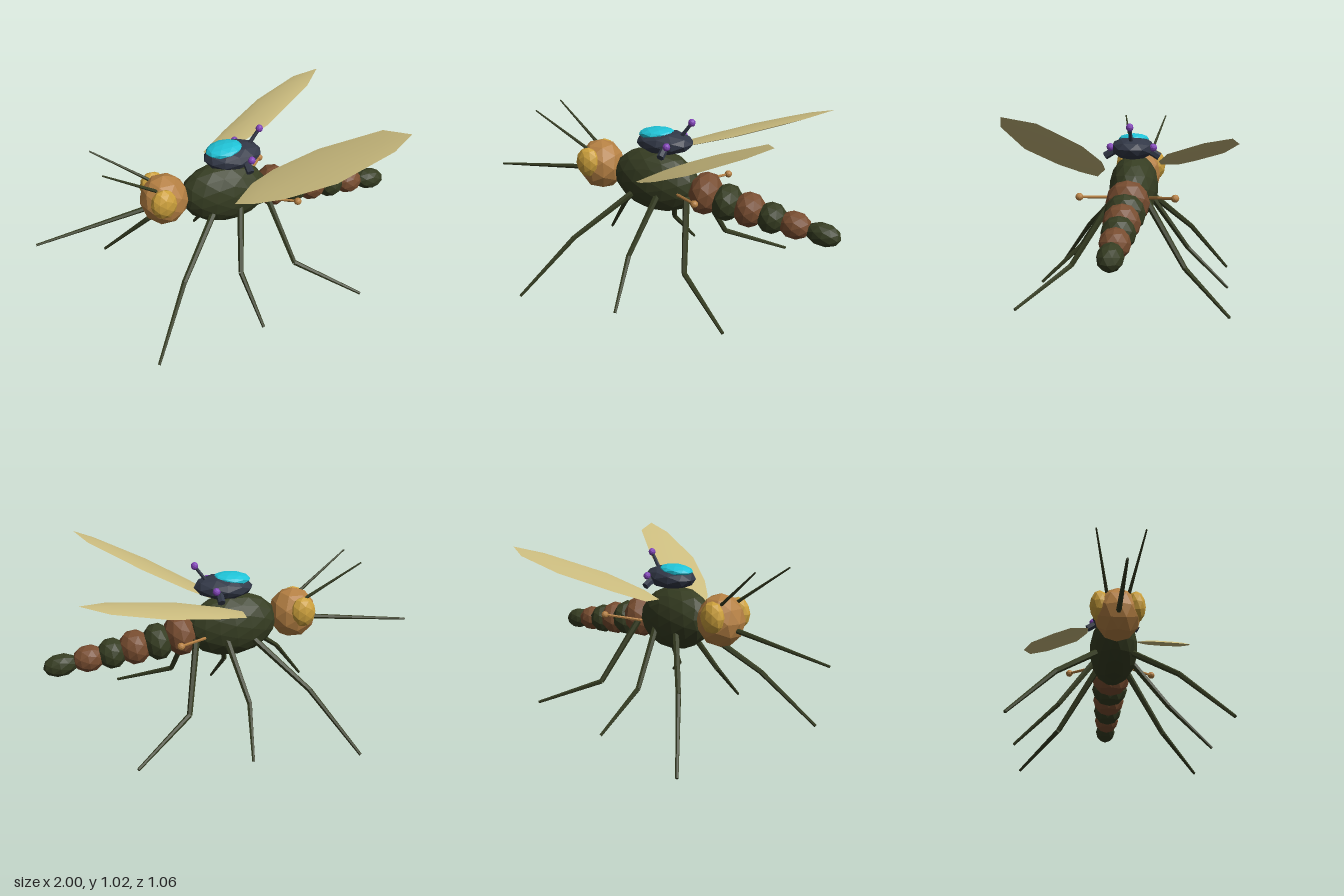
import * as THREE from 'three';

const mat = (name, color) => {
  const m = new THREE.MeshStandardMaterial({ color });
  m.name = name;
  return m;
};

export function createModel() {
  const root = new THREE.Group();
  root.name = 'mosquito';
  const green = mat('darkGreen', 0x363d22);
  const brown = mat('brown', 0x784d30);
  const tan = mat('tan', 0xb58043);
  const gold = mat('gold', 0xcca03c);
  const navy = mat('navy', 0x323847);
  const cyan = mat('cyan', 0x20c4d8);
  const purple = mat('purple', 0x8244b8);
  const wingMat = mat('wingYellow', 0xcabb7e);
  for (const m of [green, brown, tan, gold, navy, cyan, purple]) m.flatShading = true;
  wingMat.side = THREE.DoubleSide;

  const add = (name, geo, material) => {
    const mesh = new THREE.Mesh(geo, material);
    mesh.name = name;
    root.add(mesh);
    return mesh;
  };
  // faceted ellipsoid, tilted about z
  const blob = (name, material, pos, radii, tilt = 0, detail = 1) => {
    const mesh = add(name, new THREE.IcosahedronGeometry(1, detail), material);
    mesh.scale.set(...radii);
    mesh.position.set(...pos);
    mesh.rotation.z = tilt;
    return mesh;
  };
  // tapered rod between two points
  const rod = (name, material, a, b, ra, rb) => {
    const p = new THREE.Vector3(...a), q = new THREE.Vector3(...b);
    const d = q.clone().sub(p);
    const mesh = add(name, new THREE.CylinderGeometry(rb, ra, d.length(), 6), material);
    mesh.position.copy(p).add(q).multiplyScalar(0.5);
    mesh.quaternion.setFromUnitVectors(new THREE.Vector3(0, 1, 0), d.normalize());
    return mesh;
  };

  // body and head
  blob('thorax', green, [0.005, 0.598, 0], [0.245, 0.17, 0.13], -0.12, 2);
  blob('head', tan, [-0.33, 0.635, 0], [0.128, 0.138, 0.122]);
  rod('proboscis', green, [-0.42, 0.602, 0], [-1, 0.533, 0], 0.014, 0.006);

  // overlapping abdomen segments: x, y, half length, half height, half width
  [
    [0.285, 0.565, 0.088, 0.117, 0.112],
    [0.405, 0.535, 0.08, 0.1, 0.103],
    [0.525, 0.516, 0.085, 0.094, 0.092],
    [0.645, 0.493, 0.077, 0.083, 0.083],
    [0.765, 0.476, 0.084, 0.072, 0.073],
    [0.91, 0.453, 0.09, 0.06, 0.06],
  ].forEach(([x, y, l, h, w], i) =>
    blob('abdomenSegment' + (i + 1), i % 2 ? green : brown, [x, y, 0], [l, h, w], -0.15));

  const legs = {
    frontLeg: [[-0.08, 0.55, 0.08], [-0.34, 0.31, 0.3], [-0.56, 0.01, 0.51]],
    middleLeg: [[0.06, 0.57, 0.09], [-0.02, 0.265, 0.29], [0.015, 0.055, 0.51]],
    hindLeg: [[0.215, 0.56, 0.09], [0.295, 0.235, 0.29], [0.59, 0.092, 0.51]],
  };
  for (const s of [1, -1]) {
    const side = s > 0 ? 'Near' : 'Far';
    const m = ([x, y, z]) => [x, y, z * s];
    // eyes and antennae
    blob('eye' + side, gold, m([-0.36, 0.665, 0.092]), [0.07, 0.083, 0.05]);
    rod('antenna' + side, green, m([-0.38, 0.725, 0.055]), m([-0.66, 0.925, 0.122]), 0.009, 0.004);
    // legs with a knee
    for (const [name, [hip, knee, foot]] of Object.entries(legs)) {
      rod(name + 'Upper' + side, green, m(hip), m(knee), 0.018, 0.014);
      rod(name + 'Lower' + side, green, m(knee), m(foot), 0.014, 0.008);
    }
    // small balancing knobs behind the wings
    rod('haltere' + side, tan, m([0.17, 0.57, 0.1]), m([0.32, 0.597, 0.236]), 0.008, 0.007);
    blob('haltereKnob' + side, tan, m([0.32, 0.597, 0.238]), [0.02, 0.02, 0.02]);
    // rider pod side stubs and lights
    rod('podStub' + side, navy, m([0.09, 0.81, 0.08]), m([0.09, 0.772, 0.142]), 0.02, 0.02);
    blob('podLight' + side, purple, m([0.11, 0.822, 0.111]), [0.02, 0.021, 0.02]);
  }

  // rider pod on the back, with dome and mast
  blob('pod', navy, [0.05, 0.812, 0], [0.157, 0.062, 0.115], 0.03);
  blob('podDome', cyan, [0.005, 0.854, 0], [0.1, 0.03, 0.08], 0.08);
  rod('podMast', navy, [0.12, 0.82, 0], [0.2, 0.932, 0], 0.011, 0.009);
  blob('podMastLight', purple, [0.2, 0.932, 0], [0.019, 0.021, 0.019]);

  // wings: thin lens over an outline in x and z, lying on a plane rising with x
  const wing = (name, outline, base, slope) => {
    const n = outline.length, pos = [], idx = [];
    const c = outline.reduce((a, p) => [a[0] + p[0] / n, a[1] + p[1] / n], [0, 0]);
    const put = (x, z, h) => pos.push(x, base + slope * x + h, z);
    for (const h of [1, -1]) {
      const o = pos.length / 3;
      for (const [k, t] of [[1, 0], [0.7, 0.01]])
        for (const [x, z] of outline) put(c[0] + (x - c[0]) * k, c[1] + (z - c[1]) * k, h * t);
      put(c[0], c[1], h * 0.015);
      const tri = (a, b, d) => idx.push(...(h > 0 ? [o + a, o + b, o + d] : [o + a, o + d, o + b]));
      for (let i = 0; i < n; i++) {
        const j = (i + 1) % n;
        tri(i, j, n + j);
        tri(i, n + j, n + i);
        tri(n + i, n + j, 2 * n);
      }
    }
    // keep faces outward whichever way the outline turns
    const area = outline.reduce((a, p, i) => {
      const q = outline[(i + 1) % n];
      return a + p[0] * q[1] - q[0] * p[1];
    }, 0);
    if (area > 0) for (let i = 0; i < idx.length; i += 3) [idx[i], idx[i + 1]] = [idx[i + 1], idx[i]];
    const geo = new THREE.BufferGeometry();
    geo.setAttribute('position', new THREE.Float32BufferAttribute(pos, 3));
    geo.setIndex(idx);
    geo.computeVertexNormals();
    add(name, geo, wingMat);
  };
  wing('wingNear', [[-0.02, 0.2], [0.1, 0.14], [0.22, 0.14], [0.44, 0.2], [0.71, 0.35],
    [0.78, 0.49], [0.67, 0.525], [0.39, 0.49], [0.17, 0.375], [0.05, 0.28]], 0.655, 0.475);
  wing('wingFar', [[-0.02, -0.23], [-0.02, -0.14], [0.1, -0.14], [0.35, -0.2], [0.68, -0.38],
    [0.805, -0.5], [0.67, -0.533], [0.41, -0.47], [0.14, -0.33]], 0.722, 0.28);

  return root;
}
